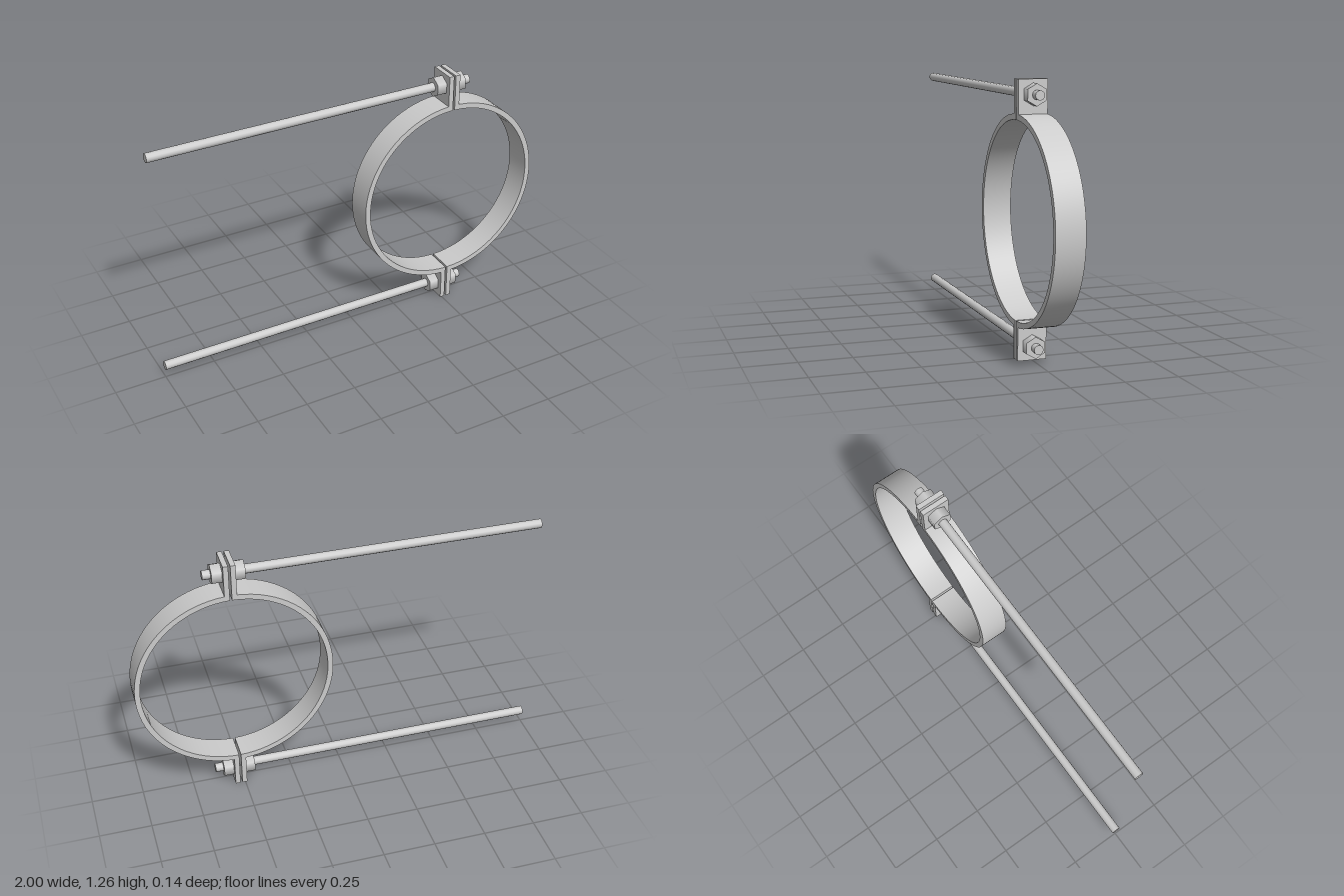
import * as THREE from 'three';
import { toCreasedNormals } from 'three/addons/utils/BufferGeometryUtils.js';

const CX = 0.52, CY = 0.628;          // ring centre
const OUTER = 0.475, INNER = 0.449;   // ring radii
const GAP = 0.005, FLANGE = 0.029;    // flange faces, measured from the split
const TOP = 0.628, DEPTH = 0.136;
const BOLT = 0.561;                   // rod height above and below the centre

const material = new THREE.MeshStandardMaterial({ color: 0xcccccc });

// Half ring with a straight flange at each end, as one bent strip
function halfClampGeometry() {
  const a = Math.PI / 2 - Math.asin(FLANGE / OUTER);
  const b = Math.PI / 2 - Math.asin(GAP / INNER);
  const shape = new THREE.Shape();
  shape.moveTo(GAP, -TOP);
  shape.lineTo(FLANGE, -TOP);
  shape.absarc(0, 0, OUTER, -a, a, false);
  shape.lineTo(FLANGE, TOP);
  shape.lineTo(GAP, TOP);
  shape.absarc(0, 0, INNER, b, -b, true);
  shape.closePath();
  const geo = new THREE.ExtrudeGeometry(shape, { depth: DEPTH, bevelEnabled: false, curveSegments: 20 });
  geo.translate(0, 0, -DEPTH / 2);
  return toCreasedNormals(geo, 0.6);
}

// Cylinder lying along x from x0 to x1
function barX(name, radius, x0, x1, y, sides) {
  const geo = new THREE.CylinderGeometry(radius, radius, x1 - x0, sides, 1, false, Math.PI / 2);
  geo.rotateZ(Math.PI / 2);
  const mesh = new THREE.Mesh(geo, material);
  mesh.name = name;
  mesh.position.set((x0 + x1) / 2, y, 0);
  return mesh;
}

export function createModel() {
  const model = new THREE.Group();
  model.name = 'pipeClamp';

  // Two clamp halves, mirrored about the split
  const half = halfClampGeometry();
  for (const [name, turn] of [['leftClampHalf', 0], ['rightClampHalf', Math.PI]]) {
    const mesh = new THREE.Mesh(half, material);
    mesh.name = name;
    mesh.position.set(CX, CY, 0);
    mesh.rotation.y = turn;
    model.add(mesh);
  }

  // Upper and lower rods, each with a hex nut on both sides of the flanges
  for (const [name, side] of [['upper', 1], ['lower', -1]]) {
    const y = CY + side * BOLT;
    const bolt = new THREE.Group();
    bolt.name = name + 'Fastener';
    bolt.add(
      barX(name + 'Rod', 0.022, -1, 0.635, y, 12),
      barX(name + 'InnerNut', 0.05, 0.442, CX - FLANGE, y, 6),
      barX(name + 'OuterNut', 0.05, CX + FLANGE, 0.597, y, 6)
    );
    model.add(bolt);
  }
  return model;
}
